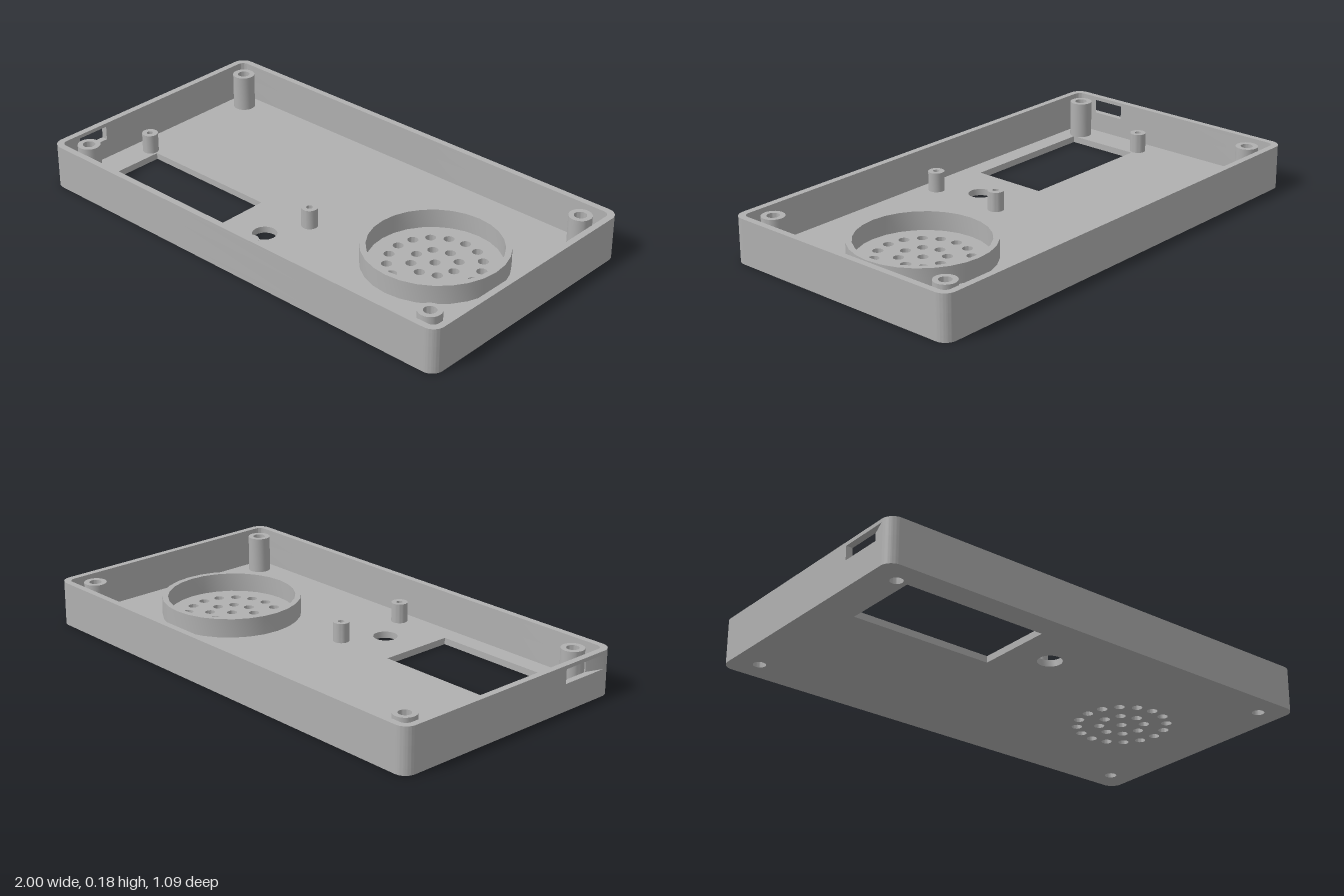
import * as THREE from 'three';
import { toCreasedNormals } from 'three/addons/utils/BufferGeometryUtils.js';

// Main dimensions (plan shapes are drawn in x and -z, then laid flat)
const W = 1, D = 0.543, H = 0.183, WALL = 0.027, FLOOR = 0.027, R = 0.05;
const SPEAKER = { x: 0.555, z: 0 };
const SLOT = { z0: 0.28, z1: 0.42, y0: 0.11, y1: 0.168 };

const plastic = new THREE.MeshStandardMaterial({ color: 0xb0b0b0 });
plastic.name = 'grey plastic';

// Four rounded corners, anticlockwise from (-w, -d), or the same run reversed
function addCorners(path, w, d, r, reverse = false) {
  const corners = [[-w + r, -d + r, 2], [w - r, -d + r, 3], [w - r, d - r, 0], [-w + r, d - r, 1]];
  if (reverse) corners.reverse();
  for (const [x, y, quarter] of corners) {
    const a = quarter * Math.PI / 2, b = a + Math.PI / 2;
    path.absarc(x, y, r, reverse ? b : a, reverse ? a : b, reverse);
  }
  return path;
}

const roundedRect = (Type, w, d, r) => addCorners(new Type(), w, d, r).closePath();

function circle(Type, x, z, r) {
  return new Type().absarc(x, -z, r, 0, Math.PI * 2, false);
}

// Extrude a plan shape from height y0 to y1
function slab(name, shape, y0, y1) {
  const raw = new THREE.ExtrudeGeometry(shape, { depth: y1 - y0, bevelEnabled: false, curveSegments: 14 });
  raw.rotateX(-Math.PI / 2).translate(0, y0, 0);
  const mesh = new THREE.Mesh(toCreasedNormals(raw, 0.6), plastic);
  mesh.name = name;
  return mesh;
}

function tube(name, x, z, outer, inner, y0, y1) {
  const shape = circle(THREE.Shape, x, z, outer);
  shape.holes.push(circle(THREE.Path, x, z, inner));
  return slab(name, shape, y0, y1);
}

export function createModel() {
  const model = new THREE.Group();
  model.name = 'enclosureHalf';
  const posts = [];
  for (const x of [-0.893, 0.893]) for (const z of [-0.44, 0.44]) posts.push([x, z]);

  // Floor with display window, button hole, screw holes and speaker grille
  const floor = roundedRect(THREE.Shape, W, D, R);
  const x0 = -0.848, x1 = -0.24, z0 = 0.12, z1 = 0.44;
  floor.holes.push(new THREE.Path([[x0, z0], [x1, z0], [x1, z1], [x0, z1]]
    .map(([x, z]) => new THREE.Vector2(x, -z))).closePath());
  floor.holes.push(circle(THREE.Path, -0.065, 0.28, 0.049));
  for (const [x, z] of posts) floor.holes.push(circle(THREE.Path, x, z, 0.025));
  for (const [count, radius] of [[1, 0], [8, 0.091], [16, 0.182]]) {
    for (let i = 0; i < count; i++) {
      const a = i / count * Math.PI * 2;
      floor.holes.push(circle(THREE.Path,
        SPEAKER.x + radius * Math.cos(a), SPEAKER.z + radius * Math.sin(a), 0.021));
    }
  }
  model.add(slab('floor', floor, 0, FLOOR));

  // Walls in three layers; the middle one is open at the cable slot
  const w = W - WALL, d = D - WALL, r = R - WALL + 0.005;
  const ring = roundedRect(THREE.Shape, W, D, R);
  ring.holes.push(roundedRect(THREE.Path, w, d, r));
  const open = new THREE.Shape();
  open.moveTo(-W, -SLOT.z1);
  addCorners(open, W, D, R);
  open.lineTo(-W, -SLOT.z0);
  open.lineTo(-w, -SLOT.z0);
  addCorners(open, w, d, r, true);
  open.lineTo(-w, -SLOT.z1);
  open.closePath();
  model.add(
    slab('lowerWall', ring, FLOOR, SLOT.y0),
    slab('slottedWall', open, SLOT.y0, SLOT.y1),
    slab('upperWall', ring, SLOT.y1, H));

  // Corner screw posts
  for (const [x, z] of posts) model.add(tube('screwPost', x, z, 0.046, 0.025, FLOOR, 0.178));

  // Short board standoffs with blind holes
  for (const [x, z] of [[-0.888, 0.118], [0.021, 0.118], [0.021, 0.443]]) {
    model.add(tube('standoff', x, z, 0.033, 0.013, FLOOR, 0.108));
  }

  // Speaker collar
  model.add(tube('speakerRing', SPEAKER.x, SPEAKER.z, 0.286, 0.262, FLOOR, 0.105));
  return model;
}
